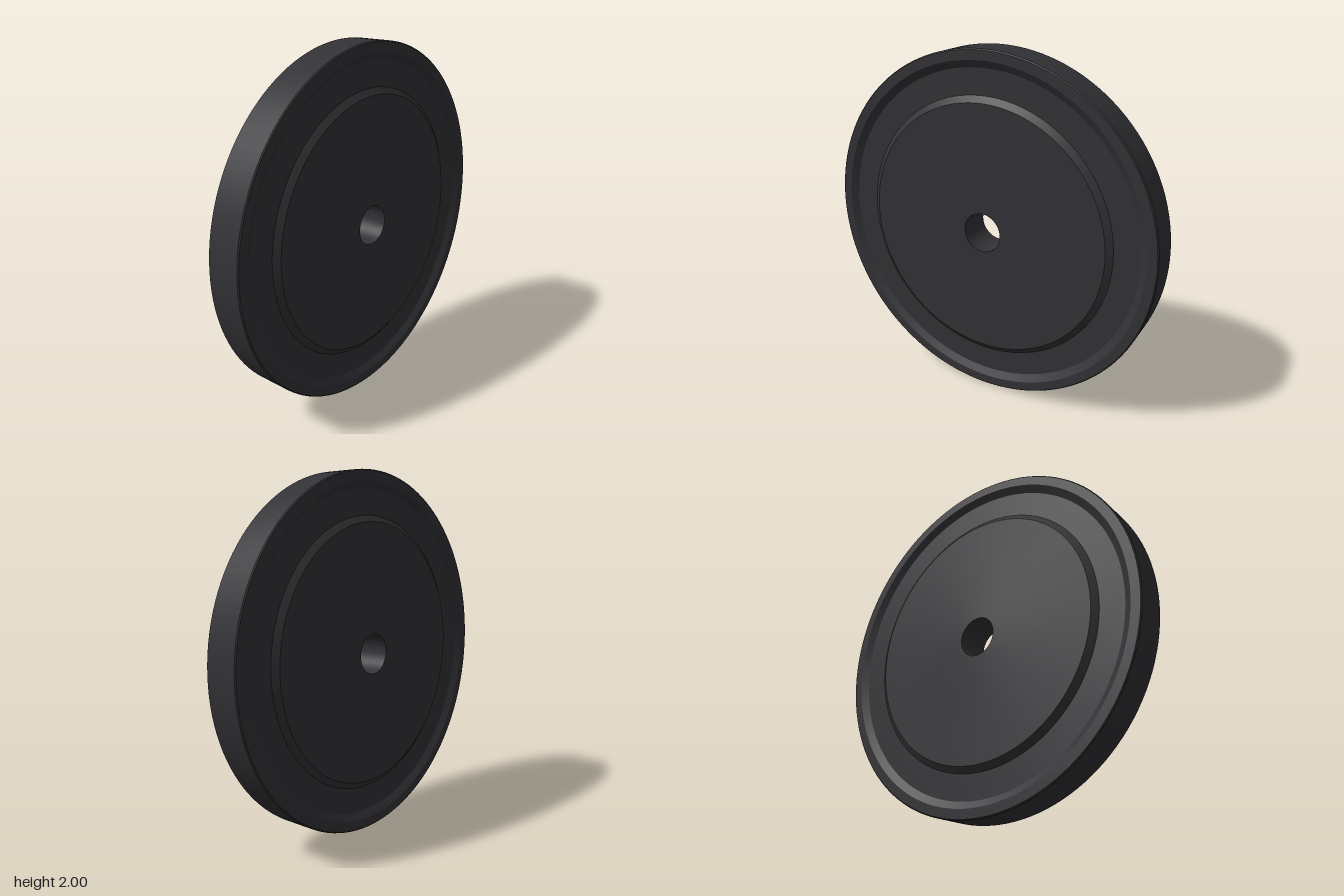
import * as THREE from 'three';
import { toCreasedNormals } from 'three/addons/utils/BufferGeometryUtils.js';

const HALF = 0.1;      // half thickness
const GROOVE = 0.025;  // depth of the ring-shaped groove

export function createModel() {
  const group = new THREE.Group();
  group.name = 'weightPlate';
  const rubber = new THREE.MeshStandardMaterial({ color: 0x333337 });
  rubber.name = 'dark rubber';

  // One face from bore to rim: [radius, height]
  const face = [
    [0.113, HALF],
    [0.725, HALF],
    [0.76, HALF - GROOVE],
    [0.902, HALF - GROOVE],
    [0.942, HALF],
    [0.994, HALF],
    [1, HALF - 0.006],
  ];

  // Closed section: lower face outwards, upper face back inwards, then the bore
  const section = [
    ...face.map(([r, h]) => new THREE.Vector2(r, -h)),
    ...face.slice().reverse().map(([r, h]) => new THREE.Vector2(r, h)),
    new THREE.Vector2(0.113, -HALF),
  ];

  const geometry = toCreasedNormals(new THREE.LatheGeometry(section, 128), 0.3);
  const plate = new THREE.Mesh(geometry, rubber);
  plate.name = 'plate';
  plate.rotation.z = Math.PI / 2; // axle runs along x
  plate.position.y = 1;
  group.add(plate);
  return group;
}
